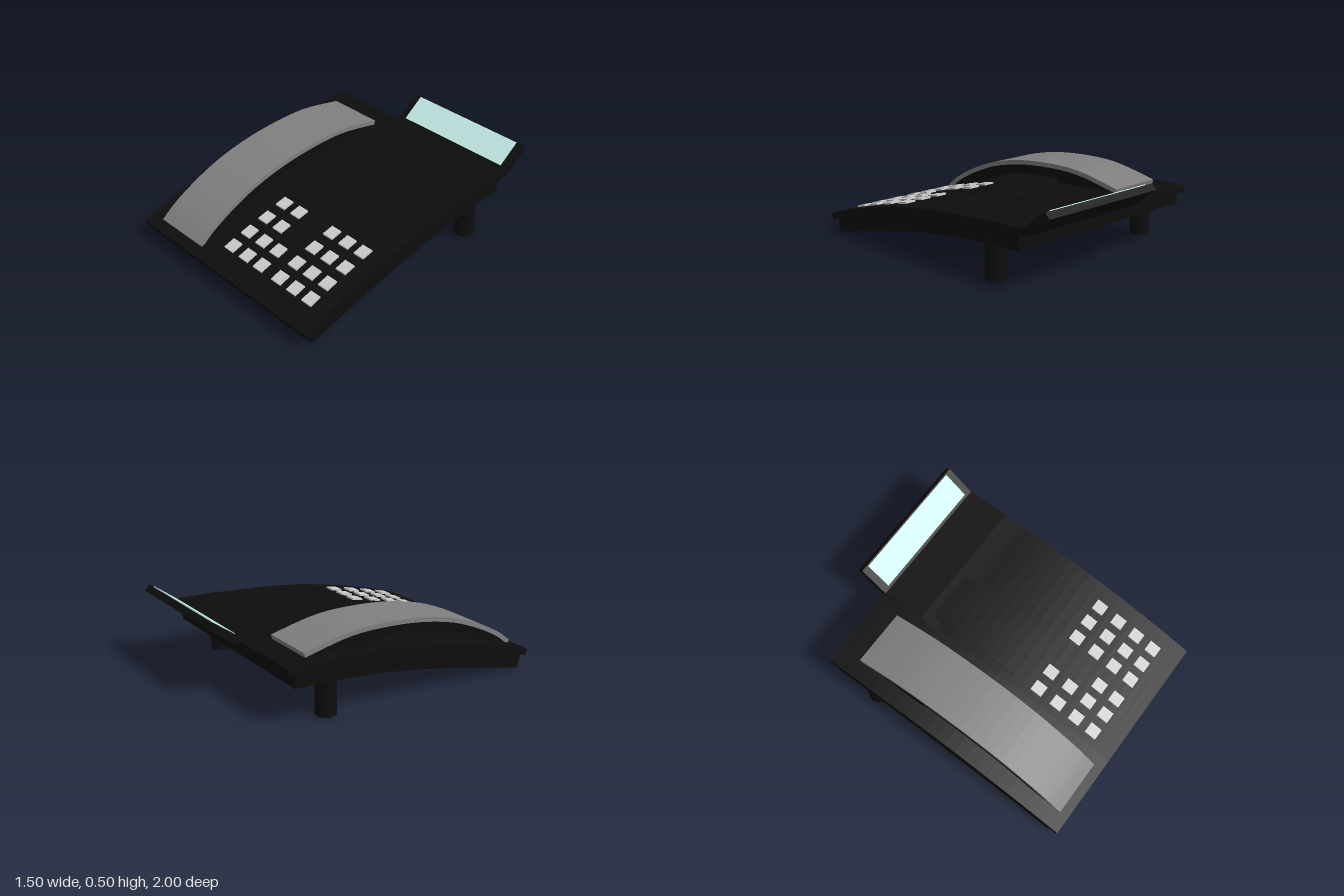
import * as THREE from 'three';

const black = new THREE.MeshStandardMaterial({ color: 0x0d0d0d });
const grey = new THREE.MeshStandardMaterial({ color: 0x808080 });
const keyGrey = new THREE.MeshStandardMaterial({ color: 0xcccccc });
const glass = new THREE.MeshStandardMaterial({ color: 0xc8f0ec });

// Smooth (z, y) curve through a few points, sampled at n + 1 points
const curve = (pts, n = 24) =>
  new THREE.SplineCurve(pts.map(([z, y]) => new THREE.Vector2(z, y))).getPoints(n).map(p => [p.x, p.y]);

const plateTop = curve([[1, 0.12], [0.81, 0.178], [0.53, 0.247], [0.2, 0.31], [-0.1, 0.343], [-0.45, 0.36], [-0.8, 0.36]]);
const handsetTop = curve([[0.94, 0.16], [0.84, 0.235], [0.68, 0.318], [0.46, 0.4], [0.19, 0.452], [-0.1, 0.469], [-0.34, 0.455], [-0.63, 0.39]]);
const baseBottom = curve([[0.93, 0], [0.46, 0.1], [0, 0.18], [-0.4, 0.22], [-0.75, 0.232]]);

// Height of a sampled curve at z
function heightAt(line, z) {
  for (let i = 1; i < line.length; i++) {
    const [z0, y0] = line[i - 1], [z1, y1] = line[i];
    if (z >= z1) return y0 + (y1 - y0) * (z - z0) / (z1 - z0);
  }
  return line[line.length - 1][1];
}

// Copy of a curve moved along its normal
function offset(line, d) {
  return line.map(([z, y], i) => {
    const a = line[Math.max(i - 1, 0)], b = line[Math.min(i + 1, line.length - 1)];
    const dz = b[0] - a[0], dy = b[1] - a[1], l = Math.hypot(dz, dy);
    return [z + d * dy / l, y - d * dz / l];
  });
}

// Solid with a (z, y) side profile spanning x0..x1
function slab(name, profile, x0, x1, material) {
  const shape = new THREE.Shape(profile.map(([z, y]) => new THREE.Vector2(z, y)));
  const geo = new THREE.ExtrudeGeometry(shape, { depth: x1 - x0, bevelEnabled: false });
  geo.rotateY(-Math.PI / 2).translate(x1, 0, 0);
  const mesh = new THREE.Mesh(geo, material);
  mesh.name = name;
  return mesh;
}

const band = (line, from, to) => [...offset(line, from), ...offset(line, to).reverse()];

export function createModel() {
  const phone = new THREE.Group();
  phone.name = 'deskPhone';

  // Curved lower body
  const bodyTop = plateTop.filter(([z]) => z < 0.94 && z > -0.74).map(([z, y]) => [z, y - 0.03]);
  phone.add(slab('base', [...baseBottom, [-0.75, 0.33], ...bodyTop.reverse(), [0.95, 0.09]], -0.74, 0.73, black));

  // Cover plates: the right one runs on into the tilted display housing
  phone.add(slab('leftCover', band(plateTop, 0, -0.045), -0.75, -0.18, black));
  const rightTop = plateTop.filter(([z]) => z > -0.4);
  const rightUnder = offset(plateTop, -0.045).filter(([z]) => z > -0.7);
  phone.add(slab('rightCover', [
    ...rightTop, [-0.5, 0.368], [-0.79, 0.374], [-0.965, 0.5], [-1, 0.466], [-0.83, 0.338], [-0.76, 0.332],
    ...rightUnder.reverse(),
  ], -0.18, 0.75, black));

  // Display glass lying on the housing slope
  phone.add(slab('displayScreen', [[-0.806, 0.389], [-0.803, 0.392], [-0.955, 0.501], [-0.958, 0.495]], -0.13, 0.7, glass));

  // Low index panel behind the keys
  const panel = plateTop.filter(([z]) => z < 0.22 && z > -0.64);
  phone.add(slab('indexPanel', band(panel, 0.004, -0.01), -0.12, 0.24, black));

  // Handset: grey shell, dark inner arch, mouthpiece and earpiece
  const handset = new THREE.Group();
  handset.name = 'handset';
  const inner = handsetTop.slice(1, -1);
  handset.add(slab('handsetShell', band(handsetTop, 0, -0.03), -0.64, -0.26, grey));
  handset.add(slab('handsetInner', band(inner, -0.03, -0.09), -0.635, -0.265, black));
  const piece = (name, z0, z1) => {
    const steps = Array.from({ length: 7 }, (_, i) => z0 + (z1 - z0) * i / 6);
    const upper = steps.map(z => [z, heightAt(handsetTop, z) - 0.035]);
    const lower = steps.map(z => [z, heightAt(plateTop, z) - 0.015]).reverse();
    handset.add(slab(name, [...upper, ...lower], -0.635, -0.265, black));
  };
  piece('mouthpiece', 0.89, 0.68);
  piece('earpiece', -0.13, -0.61);
  phone.add(handset);

  // Keypad: six columns, the third has only its two front keys
  const keys = new THREE.Group();
  keys.name = 'keypad';
  const keyGeo = new THREE.BoxGeometry(0.077, 0.024, 0.083);
  [0.38, 0.53, 0.675, 0.81].forEach((z, row) => {
    const slope = (heightAt(plateTop, z - 0.04) - heightAt(plateTop, z + 0.04)) / 0.08;
    [-0.09, 0.045, 0.175, 0.34, 0.472, 0.602].forEach((x, col) => {
      if (col === 2 && row < 2) return;
      const key = new THREE.Mesh(keyGeo, keyGrey);
      key.name = 'key';
      key.position.set(x, heightAt(plateTop, z), z);
      key.rotation.x = Math.atan(slope);
      keys.add(key);
    });
  });
  phone.add(keys);

  // Two round rear legs
  for (const side of [-1, 1]) {
    const leg = new THREE.Mesh(new THREE.CylinderGeometry(0.065, 0.065, 0.26, 20), black);
    leg.name = side > 0 ? 'leftLeg' : 'rightLeg';
    leg.position.set(side * 0.67, 0.13, -0.505);
    phone.add(leg);
  }
  return phone;
}
